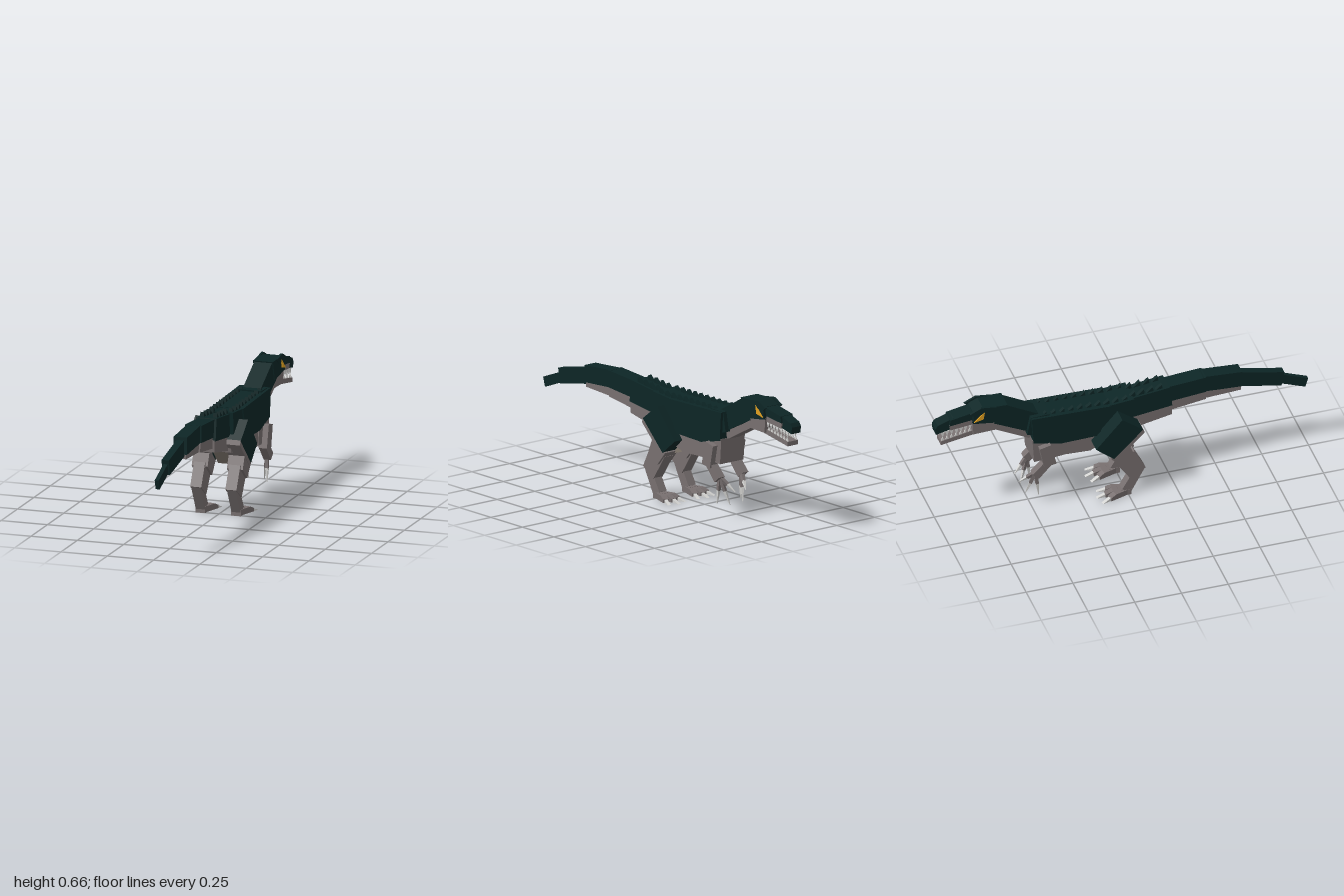
import * as THREE from 'three';

const mat = (name, color) => {
  const m = new THREE.MeshStandardMaterial({ color });
  m.name = name;
  return m;
};

export function createModel() {
  const root = new THREE.Group();
  root.name = 'dinosaur';
  const hide = mat('dark teal hide', 0x0d2626);
  const skin = mat('grey underside', 0x787070);
  const belly = mat('pale belly', 0x847a70);
  const claw = mat('pale claw', 0xd4d4d2);
  const amber = mat('amber eye', 0xe0a020);
  const CX = 0.017; // centre line of the body

  // Side profile given as [z, y] corners, extruded from x0 to x1
  function slab(name, material, x0, x1, pts, parent = root) {
    const shape = new THREE.Shape(pts.map(p => new THREE.Vector2(p[0], p[1])));
    const g = new THREE.ExtrudeGeometry(shape, { depth: x1 - x0, bevelEnabled: false });
    g.rotateY(-Math.PI / 2);
    g.translate(x1, 0, 0);
    const mesh = new THREE.Mesh(g, material);
    mesh.name = name;
    parent.add(mesh);
    return mesh;
  }
  const mid = (name, material, half, pts) => slab(name, material, CX - half, CX + half, pts);

  // Four-sided tapering bar between two points
  function bar(name, material, a, b, r0, r1, parent) {
    const A = new THREE.Vector3(...a), B = new THREE.Vector3(...b), d = B.clone().sub(A);
    const g = new THREE.CylinderGeometry(r1, r0, d.length(), 4).toNonIndexed();
    g.computeVertexNormals();
    const mesh = new THREE.Mesh(g, material);
    mesh.name = name;
    mesh.position.copy(A).add(B).multiplyScalar(0.5);
    mesh.quaternion.setFromUnitVectors(new THREE.Vector3(0, 1, 0), d.normalize());
    parent.add(mesh);
  }

  // Tail, from tip to hips
  mid('tailTip', hide, 0.011, [[1, 0.42], [0.86, 0.475], [0.845, 0.425], [0.985, 0.37]]);
  mid('tailEnd', hide, 0.02, [[0.87, 0.495], [0.635, 0.545], [0.63, 0.46], [0.855, 0.415]]);
  mid('tailThird', hide, 0.036, [[0.64, 0.56], [0.43, 0.575], [0.43, 0.483], [0.64, 0.47]]);
  mid('tailThirdUnder', skin, 0.03, [[0.635, 0.475], [0.43, 0.49], [0.43, 0.435], [0.635, 0.445]]);
  mid('tailSecond', hide, 0.044, [[0.445, 0.575], [0.24, 0.56], [0.24, 0.467], [0.445, 0.485]]);
  mid('tailSecondUnder', skin, 0.038, [[0.44, 0.49], [0.24, 0.475], [0.26, 0.41], [0.445, 0.435]]);
  mid('tailBase', hide, 0.056, [[0.245, 0.565], [0.03, 0.54], [0.02, 0.42], [0.26, 0.45]]);
  mid('tailBaseUnder', skin, 0.05, [[0.26, 0.455], [0.02, 0.43], [0.03, 0.345], [0.26, 0.39]]);

  // Hips and torso
  mid('hips', hide, 0.076, [[0.05, 0.55], [-0.12, 0.535], [-0.16, 0.37], [0.04, 0.41]]);
  mid('hipsUnder', skin, 0.066, [[0.06, 0.415], [-0.18, 0.39], [-0.18, 0.275], [0.05, 0.34]]);
  mid('pelvis', belly, 0.05, [[0.02, 0.34], [-0.15, 0.33], [-0.17, 0.275], [-0.08, 0.245]]);
  mid('torso', hide, 0.084, [[-0.08, 0.54], [-0.5, 0.55], [-0.49, 0.40], [-0.34, 0.365], [-0.14, 0.37]]);
  mid('torsoUnder', skin, 0.074, [[-0.14, 0.38], [-0.36, 0.38], [-0.35, 0.285], [-0.18, 0.277]]);
  mid('chest', skin, 0.078, [[-0.34, 0.375], [-0.495, 0.41], [-0.485, 0.275], [-0.33, 0.285]]);

  // Neck
  mid('neck', hide, 0.048, [[-0.42, 0.535], [-0.63, 0.65], [-0.69, 0.545], [-0.5, 0.45]]);
  mid('shoulders', hide, 0.07, [[-0.4, 0.555], [-0.5, 0.552], [-0.52, 0.45], [-0.42, 0.42]]);
  mid('throat', skin, 0.04, [[-0.46, 0.48], [-0.64, 0.56], [-0.68, 0.5], [-0.5, 0.405]]);

  // Head
  mid('skull', hide, 0.054, [[-0.62, 0.652], [-0.75, 0.657], [-0.8, 0.635], [-0.805, 0.572], [-0.65, 0.55]]);
  mid('cheek', skin, 0.046, [[-0.64, 0.565], [-0.805, 0.58], [-0.8, 0.5], [-0.65, 0.505]]);
  mid('snout', hide, 0.04, [[-0.79, 0.635], [-0.92, 0.61], [-0.925, 0.575], [-0.79, 0.59]]);
  mid('upperJaw', skin, 0.037, [[-0.79, 0.592], [-0.925, 0.577], [-0.92, 0.546], [-0.79, 0.56]]);
  mid('snoutTip', hide, 0.03, [[-0.9, 0.615], [-0.985, 0.585], [-0.998, 0.565], [-0.995, 0.53], [-0.91, 0.55]]);
  mid('lowerJaw', skin, 0.034, [[-0.76, 0.525], [-0.8, 0.517], [-0.97, 0.485], [-0.97, 0.462], [-0.78, 0.495]]);

  // Brows, eyes, teeth and back scales on both sides
  for (const s of [-1, 1]) {
    const side = (name, m, off, w, pts) =>
      slab(name, m, CX + s * off - w / 2, CX + s * off + w / 2, pts);
    side('brow', hide, 0.051, 0.012, [[-0.67, 0.652], [-0.76, 0.664], [-0.82, 0.635], [-0.8, 0.62], [-0.7, 0.625]]);
    side('eye', amber, 0.056, 0.007, [[-0.742, 0.637], [-0.8, 0.582], [-0.75, 0.593]]);
    for (let i = 0; i < 7; i++) {
      const z = -0.815 - i * 0.024, y = 0.562 - i * 0.004;
      side('upperTooth', claw, i < 4 ? 0.033 : 0.026, 0.006, [[z + 0.011, y], [z, y - 0.032], [z - 0.011, y - 0.002]]);
      const b = 0.512 - i * 0.004;
      side('lowerTooth', claw, 0.028, 0.005, [[z + 0.009, b], [z, b + 0.02], [z - 0.009, b - 0.002]]);
    }
    for (let i = 0; i < 14; i++) {
      const z = 0.2 - i * 0.048;
      const y = z > 0.04 ? 0.542 + z * 0.09 : 0.54;
      side('backScale', hide, z > 0.04 ? 0.035 : 0.052, 0.02,
        [[z - 0.035, y - 0.012], [z + 0.008, y + 0.025], [z + 0.012, y - 0.012]]);
    }
  }

  // Hind legs
  for (const s of [-1, 1]) {
    const leg = new THREE.Group();
    leg.name = s > 0 ? 'leftHindLeg' : 'rightHindLeg';
    root.add(leg);
    const part = (name, m, inner, outer, pts) =>
      slab(name, m, s > 0 ? inner : -outer, s > 0 ? outer : -inner, pts, leg);
    part('thigh', hide, 0.05, 0.142, [[-0.04, 0.497], [0.072, 0.412], [-0.085, 0.26], [-0.18, 0.34]]);
    part('thighBack', skin, 0.051, 0.141, [[0.072, 0.415], [0.08, 0.39], [-0.06, 0.255], [-0.09, 0.262]]);
    part('knee', skin, 0.052, 0.138, [[0, 0.32], [-0.1, 0.262], [-0.04, 0.19], [0.03, 0.25]]);
    part('shin', skin, 0.065, 0.125, [[0.03, 0.272], [0.09, 0.155], [0.01, 0.1], [-0.08, 0.235]]);
    part('ankle', skin, 0.072, 0.121, [[0.088, 0.155], [0.015, 0.02], [-0.035, 0.04], [0.01, 0.115]]);
    part('heel', skin, 0.07, 0.122, [[0.015, 0.034], [0.015, 0.001], [-0.05, 0.001], [-0.05, 0.034]]);
    // Three splayed toes with claws
    for (const t of [-1, 0, 1]) {
      const toe = new THREE.Group();
      toe.name = 'toe';
      toe.position.set(s * 0.096 + t * 0.014, 0, -0.02);
      toe.rotation.y = -t * 0.3;
      const len = t ? 0.09 : 0.1;
      slab('toeBone', skin, -0.016, 0.016, [[0.01, 0.033], [0.01, 0.002], [-len, 0.002], [-len, 0.02], [-0.06, 0.033]], toe);
      slab('toeClaw', claw, -0.009, 0.009, [[-len, 0.018], [-len, 0], [-len - 0.045, 0]], toe);
      leg.add(toe);
    }
  }

  // Arms with three long claws each
  for (const s of [-1, 1]) {
    const arm = new THREE.Group();
    arm.name = s > 0 ? 'leftArm' : 'rightArm';
    root.add(arm);
    const part = (name, inner, outer, pts) =>
      slab(name, skin, CX + (s > 0 ? inner : -outer), CX + (s > 0 ? outer : -inner), pts, arm);
    part('upperArm', 0.062, 0.108, [[-0.405, 0.385], [-0.465, 0.37], [-0.44, 0.25], [-0.375, 0.262]]);
    part('forearm', 0.058, 0.098, [[-0.38, 0.272], [-0.43, 0.28], [-0.5, 0.21], [-0.465, 0.18]]);
    const tips = [[0.035, 0.135, -0.555], [0.042, 0.062, -0.522], [0.078, 0.064, -0.462]];
    for (const [x, y, z] of tips) {
      const a = [CX + s * 0.072, 0.205, -0.477], b = [CX + s * x, y, z];
      const m = a.map((v, i) => v + (b[i] - v) * 0.5);
      bar('finger', skin, a, m, 0.014, 0.011, arm);
      bar('fingerClaw', claw, m, b, 0.011, 0.002, arm);
    }
  }
  return root;
}
